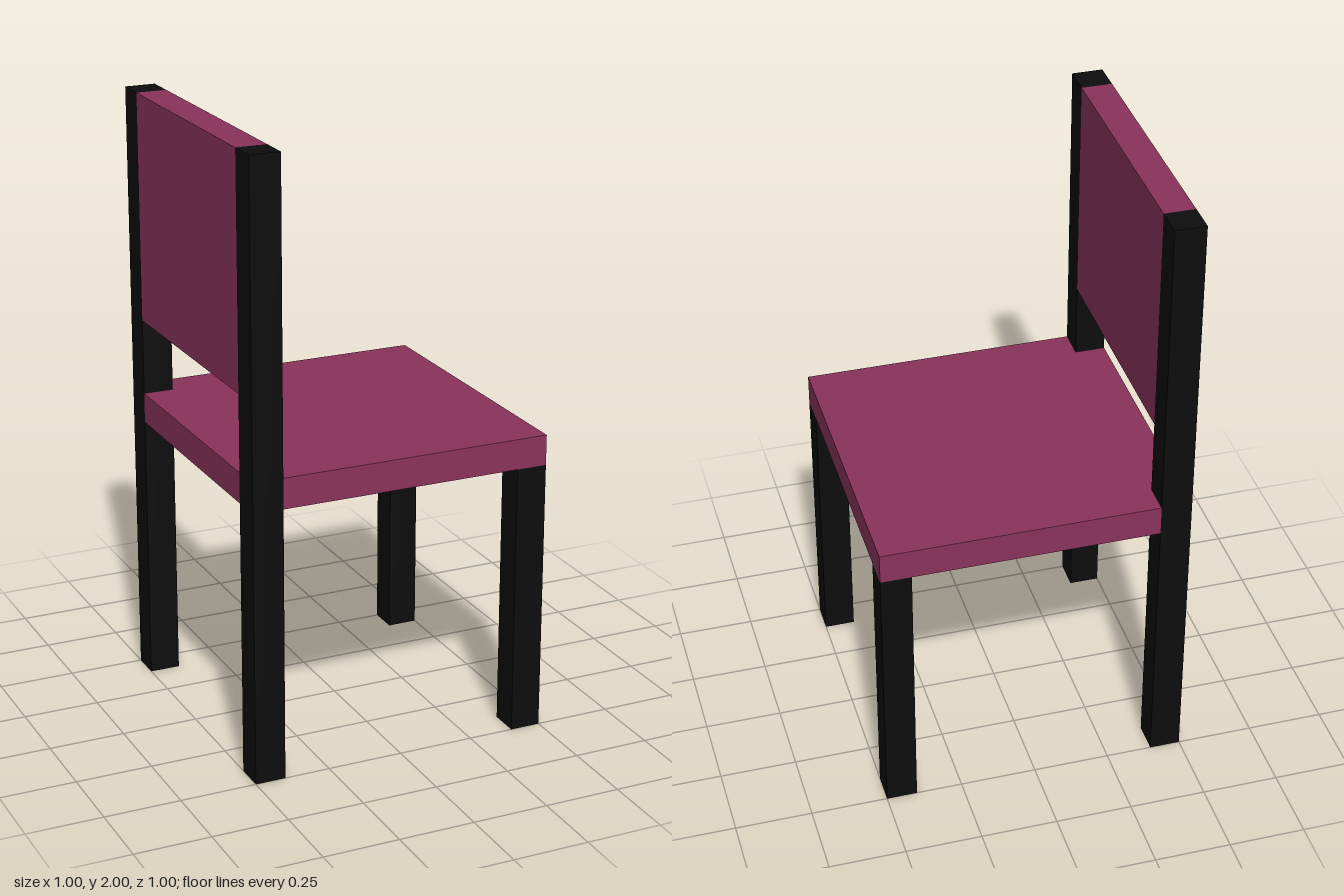
import * as THREE from 'three';

const H = 0.5;    // half width of the chair
const T = 0.1;    // thickness of posts, seat and backrest
const SEAT = 0.9; // underside of the seat

export function createModel() {
  const chair = new THREE.Group();
  chair.name = 'chair';
  const plum = new THREE.MeshStandardMaterial({ color: 0x8b335b });
  const black = new THREE.MeshStandardMaterial({ color: 0x0d0d0d });

  const add = (name, geometry, material, x, y, z) => {
    const mesh = new THREE.Mesh(geometry, material);
    mesh.name = name;
    mesh.position.set(x, y, z);
    chair.add(mesh);
  };

  // Legs: tall posts on the backrest side, short legs under the seat
  for (const [side, z] of [['Left', -H + T / 2], ['Right', H - T / 2]]) {
    add('backPost' + side, new THREE.BoxGeometry(T, 2, T), black, -H + T / 2, 1, z);
    add('seatLeg' + side, new THREE.BoxGeometry(T, SEAT, T), black, H - T / 2, SEAT / 2, z);
  }

  // Seat slab, notched around the two posts
  const i = H - T;
  const outline = new THREE.Shape([
    [-i, -H], [H, -H], [H, H], [-i, H], [-i, i], [-H, i], [-H, -i], [-i, -i],
  ].map(([x, y]) => new THREE.Vector2(x, y)));
  const seat = new THREE.ExtrudeGeometry(outline, { depth: T, bevelEnabled: false });
  seat.rotateX(-Math.PI / 2);
  add('seat', seat, plum, 0, SEAT, 0);

  // Backrest panel, flush between the posts
  add('backrest', new THREE.BoxGeometry(T, 0.75, 2 * i), plum, -H + T / 2, 1.625, 0);

  return chair;
}
